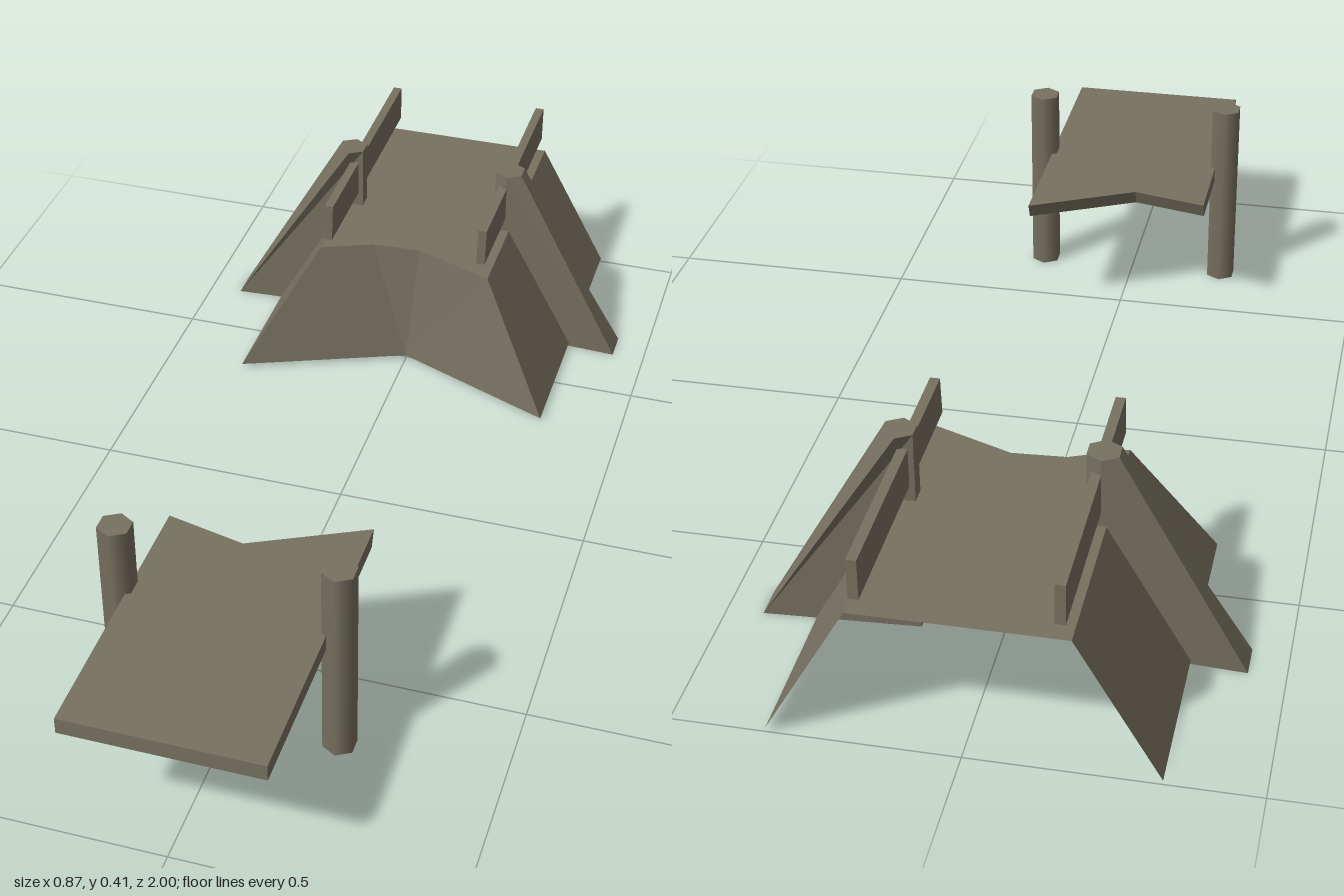
import * as THREE from 'three';

export function createModel() {
  const group = new THREE.Group();
  const wood = new THREE.MeshStandardMaterial({ color: 0x777160, side: THREE.DoubleSide });
  wood.name = 'weatheredWood';
  const add = (name, geometry, x = 0, y = 0, z = 0) => {
    const mesh = new THREE.Mesh(geometry, wood);
    mesh.name = name;
    mesh.position.set(x, y, z);
    group.add(mesh);
    return mesh;
  };
  const H = 0.407, R = 0.032;

  // Front deck: a plank slab with a jagged, slightly undercut broken end
  const outline = new THREE.Shape([[-0.182, 1], [0.182, 1], [0.182, 0.395], [-0.03, 0.5], [-0.182, 0.465]]
    .map(([x, z]) => new THREE.Vector2(x, z)));
  const deck = new THREE.ExtrudeGeometry(outline, { depth: 0.032, bevelEnabled: false });
  const dp = deck.attributes.position;
  for (let i = 0; i < dp.count; i++) {
    if (dp.getZ(i) > 0.01 && dp.getY(i) < 0.8) dp.setY(i, dp.getY(i) + 0.014);
  }
  deck.rotateX(Math.PI / 2);
  deck.computeVertexNormals();
  add('frontDeck', deck, 0, 0.272, 0);

  // Rear ramp: an open trapezoid shell, closed by the sloping broken end
  const y0 = 0.008, y1 = 0.272;
  const top = [[-0.184, -0.465], [-0.08, -0.508], [0.02, -0.514], [0.184, -0.45]];
  const foot = [[-0.333, -0.358], [0, -0.493], [0, -0.493], [0.333, -0.355]];
  const upper = top.map(([x, z]) => new THREE.Vector3(x, y1, z));
  const lower = foot.map(([x, z]) => new THREE.Vector3(x, y0, z));
  const back = (v) => new THREE.Vector3(v.x, v.y, -1);
  const points = [];
  const quad = (a, b, c, d) => points.push(a, b, c, a, c, d);
  const profile = [lower[0], ...upper, lower[3]];
  for (let i = 0; i < profile.length - 1; i++) {
    quad(profile[i], profile[i + 1], back(profile[i + 1]), back(profile[i]));
  }
  for (let i = 0; i < 3; i++) {
    if (i === 1) points.push(lower[1], upper[2], upper[1]);
    else quad(lower[i], lower[i + 1], upper[i + 1], upper[i]);
  }
  const ramp = new THREE.BufferGeometry().setFromPoints(points);
  ramp.computeVertexNormals();
  add('rearRamp', ramp);

  for (const s of [1, -1]) {
    const side = s > 0 ? 'left' : 'right';

    // Upright six-sided front post
    add(side + 'FrontPost', new THREE.CylinderGeometry(R, R, H, 6), s * 0.2, H / 2, 0.665);

    // Rear post whose outer foot is drawn out into a sloping buttress
    const post = new THREE.CylinderGeometry(R, R, H, 6).toNonIndexed();
    const p = post.attributes.position;
    for (let i = 0; i < p.count; i++) {
      if (p.getY(i) < 0 && p.getX(i) * s > -0.01) {
        const middle = Math.abs(p.getX(i)) < 0.001 && Math.abs(p.getZ(i)) < 0.001;
        p.setX(i, s * (middle ? 0.1 : 0.258));
      }
    }
    post.computeVertexNormals();
    add(side + 'RearPost', post, s * 0.175, H / 2, -0.67);

    // Handrail with a slanted broken end
    const rail = new THREE.BoxGeometry(0.018, 0.076, 0.545);
    const r = rail.attributes.position;
    for (let i = 0; i < r.count; i++) {
      if (r.getZ(i) > 0 && r.getY(i) > 0) r.setZ(i, r.getZ(i) - 0.008);
    }
    add(side + 'Handrail', rail, s * 0.166, 0.34, -0.7275);
  }
  return group;
}
